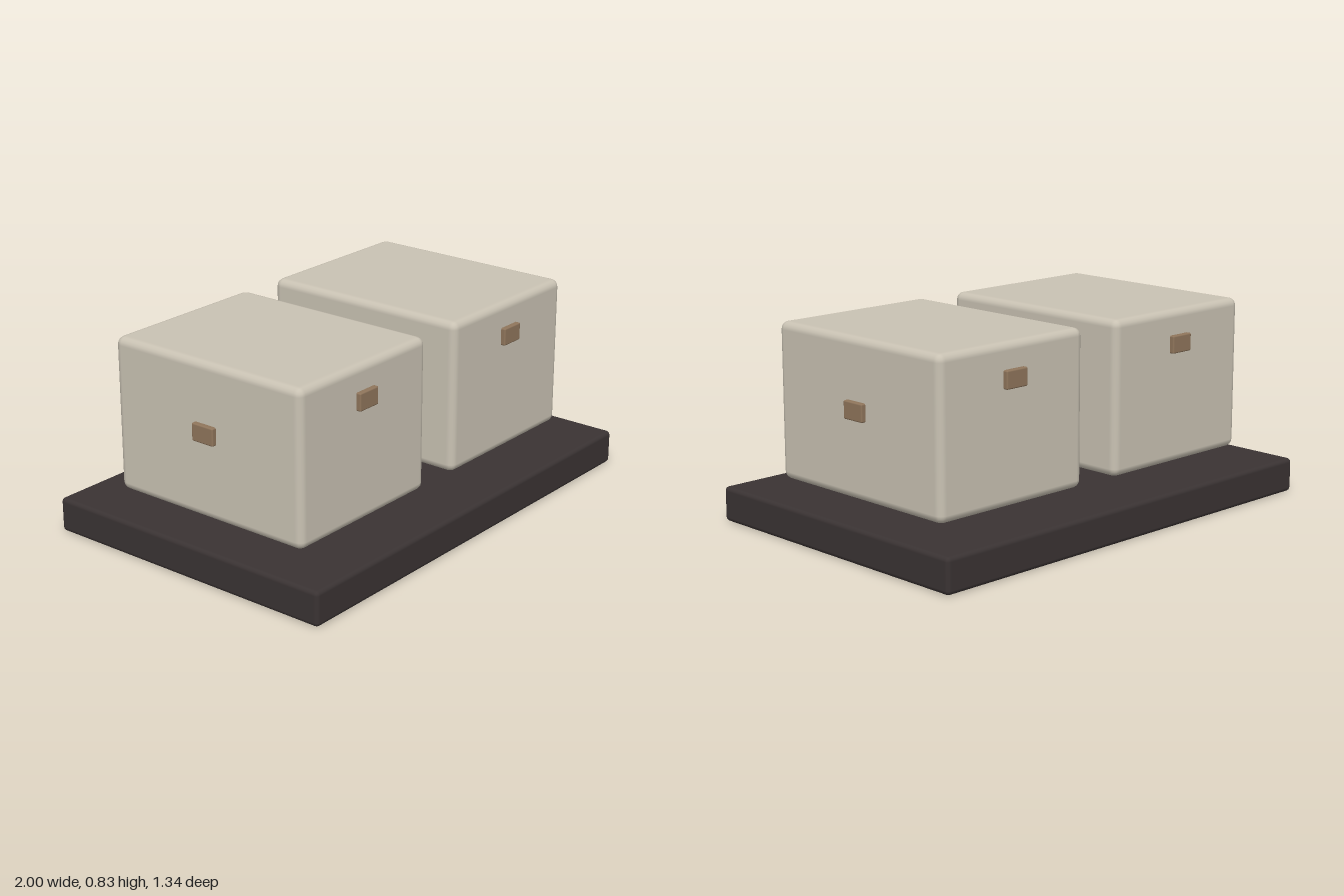
import * as THREE from 'three';
import { RoundedBoxGeometry } from 'three/addons/geometries/RoundedBoxGeometry.js';

const material = (name, color) => {
  const m = new THREE.MeshStandardMaterial({ color });
  m.name = name;
  return m;
};

function roundedBox(name, size, radius, mat, position) {
  const mesh = new THREE.Mesh(new RoundedBoxGeometry(...size, 2, radius), mat);
  mesh.name = name;
  mesh.position.set(...position);
  return mesh;
}

export function createModel() {
  const model = new THREE.Group();
  model.name = 'cratesOnPallet';
  const dark = material('dark base', 0x3a3333);
  const cream = material('cream crate', 0xc9c2b3);
  const brown = material('brown handle', 0x8f755b);

  // Flat slab underneath
  model.add(roundedBox('base', [2, 0.145, 1.34], 0.018, dark, [0, 0.0725, 0]));

  // Two crates hovering just above the slab
  const W = 0.76, H = 0.645, D = 0.944;
  for (const side of [-1, 1]) {
    const crate = new THREE.Group();
    crate.name = side > 0 ? 'leftCrate' : 'rightCrate';
    crate.position.set(side * 0.473, 0.5125, 0);
    crate.add(roundedBox('crateBody', [W, H, D], 0.033, cream, [0, 0, 0]));

    // Handles: high on front and back, lower on the sides
    for (const s of [-1, 1]) {
      crate.add(roundedBox(s > 0 ? 'frontHandle' : 'backHandle',
        [0.11, 0.074, 0.04], 0.006, brown, [0, 0.181, s * (D / 2)]));
      crate.add(roundedBox(s > 0 ? 'leftHandle' : 'rightHandle',
        [0.04, 0.074, 0.108], 0.006, brown, [s * (W / 2), 0.036, 0]));
    }
    model.add(crate);
  }
  return model;
}
